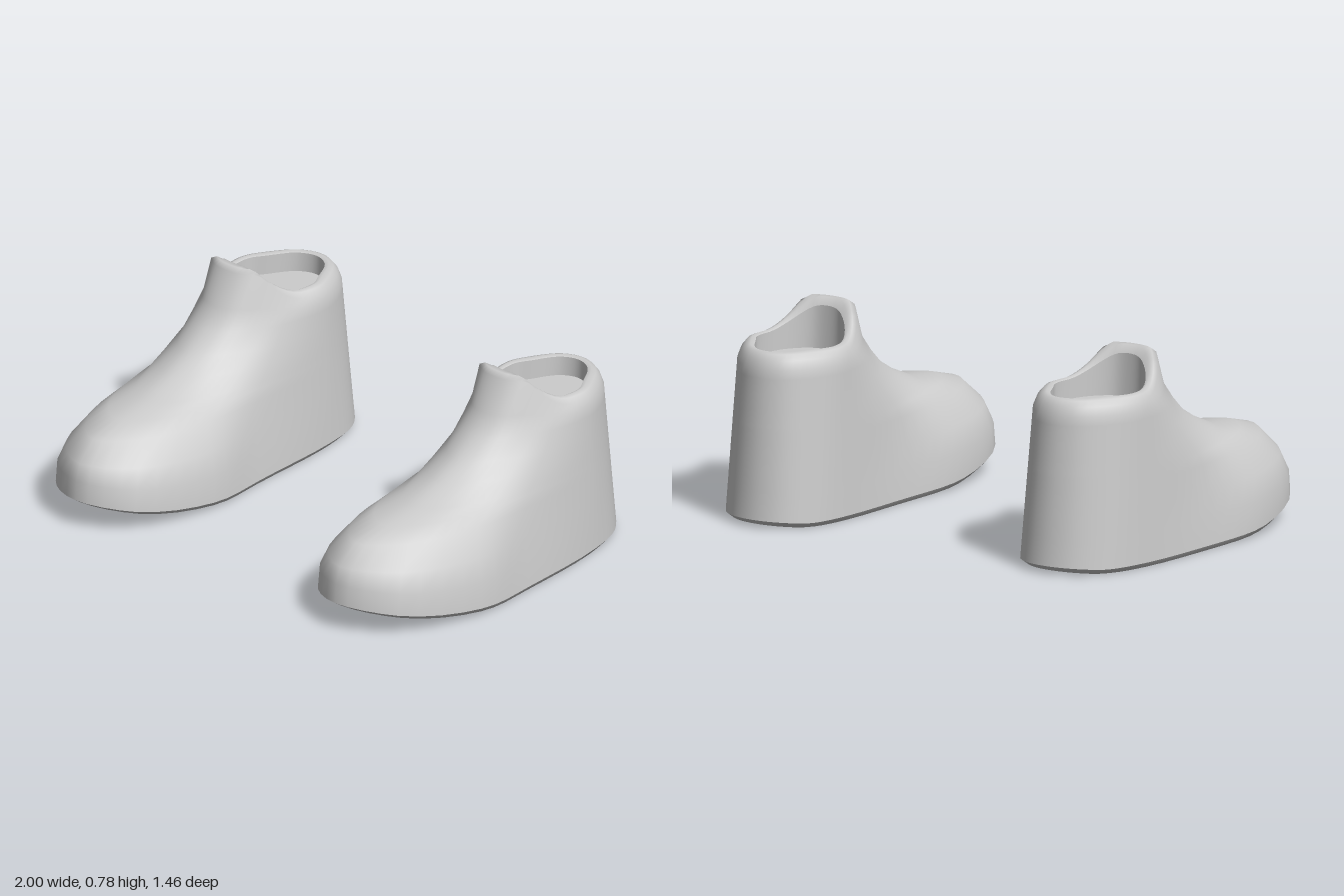
import * as THREE from 'three';

const SEG = 56; // points around each ring
const grey = new THREE.MeshStandardMaterial({ color: 0xcccccc });
grey.name = 'light grey';

// Underside height: flat in the middle, curling up at toe and heel
function soleHeight(z) {
  const toe = Math.max(0, z + 0.05) / 0.78;
  const heel = Math.max(0, -z - 0.62) / 0.11;
  return 0.1 * toe * toe + 0.012 * heel;
}

// Ring: height, front lift, front z, three pairs of half width and z, heel half width, back z
// The heel narrows and leans forward steadily, so the walls only list the forefoot
const wall = (y, ...forefoot) => [y, Math.max(0, y - 0.57), ...forefoot, 0.25 - 0.042 * y, -0.732 + 0.09 * y];
const wallRings = [
  wall(0.02, 0.73, 0.205, 0.61, 0.308, 0.27, 0.283, -0.02),
  wall(0.13, 0.725, 0.205, 0.6, 0.303, 0.26, 0.272, -0.02),
  wall(0.225, 0.705, 0.185, 0.57, 0.276, 0.25, 0.255, -0.03),
  wall(0.325, 0.625, 0.145, 0.49, 0.225, 0.2, 0.24, -0.05),
  wall(0.367, 0.49, 0.115, 0.4, 0.19, 0.17, 0.23, -0.07),
  wall(0.388, 0.33, 0.1, 0.27, 0.175, 0.11, 0.225, -0.09),
  wall(0.445, 0.19, 0.09, 0.14, 0.165, 0.02, 0.217, -0.14),
  wall(0.5, 0.09, 0.08, 0.05, 0.155, -0.06, 0.208, -0.19),
  wall(0.57, 0, 0.08, -0.03, 0.15, -0.12, 0.2, -0.23),
  wall(0.605, -0.07, 0.075, -0.09, 0.145, -0.17, 0.197, -0.27),
];
const collar = [0.64, 0.13, -0.128, 0.07, -0.142, 0.14, -0.205, 0.192, -0.31, 0.213, -0.665];
const opening = [0.662, 0.11, -0.195, 0.06, -0.205, 0.115, -0.25, 0.155, -0.325, 0.165, -0.62];

// Rolled rim: blend from the collar to the opening over a small arch
const rimRings = [0, 0.35, 0.7, 1].map((t) => {
  const ring = collar.map((v, i) => THREE.MathUtils.lerp(v, opening[i], t));
  ring[0] += 0.015 * Math.sin(Math.PI * t);
  return ring;
});
const upperRings = [...wallRings, ...rimRings];

// Symmetric closed outline, skewed a little towards the inside at both ends
function ringPoints([y, lift, front, aw, az, bw, bz, cw, cz, heel, back], side, inset = 1) {
  const half = [
    [aw, az], [bw, bz], [cw, cz],
    [heel, -0.43], [heel * 0.8, back + 0.125], [heel * 0.44, back + 0.03],
  ];
  const outline = [[0, front], ...half, [0, back], ...half.map(([x, z]) => [-x, z]).reverse()];
  const curve = new THREE.CatmullRomCurve3(outline.map(([x, z]) => new THREE.Vector3(x, 0, z)), true);
  return Array.from({ length: SEG }, (_, i) => {
    const p = curve.getPoint(i / SEG);
    p.x *= inset;
    p.z *= inset;
    const rise = THREE.MathUtils.clamp((p.z + 0.36) / 0.18, 0, 1);
    p.y = y + lift * rise * rise + soleHeight(p.z) * Math.max(0, 1 - y / 0.35);
    p.x += side * (0.69 - 0.045 * p.z * p.z);
    return p;
  });
}

// Skin a stack of rings, optionally closing the first (facing down) or last (facing up)
function skin(name, rings, cap) {
  const index = [];
  for (let k = 0; k < rings.length - 1; k++) {
    for (let i = 0; i < SEG; i++) {
      const j = (i + 1) % SEG, lo = k * SEG, hi = lo + SEG;
      index.push(lo + i, lo + j, hi + j, lo + i, hi + j, hi + i);
    }
  }
  if (cap) {
    const o = cap === 'top' ? (rings.length - 1) * SEG : 0;
    for (let i = 0; i < SEG / 2; i++) {
      const p = o + i, q = p + 1, r = o + SEG - i - 1, s = o + ((SEG - i) % SEG);
      if (cap === 'top') index.push(p, q, r, p, r, s);
      else index.push(p, r, q, p, s, r);
    }
  }
  const geometry = new THREE.BufferGeometry().setFromPoints(rings.flat());
  geometry.setIndex(index);
  geometry.computeVertexNormals();
  const mesh = new THREE.Mesh(geometry, grey);
  mesh.name = name;
  return mesh;
}

function createShoe(side) {
  const shoe = new THREE.Group();
  shoe.name = side > 0 ? 'leftShoe' : 'rightShoe';
  const upper = upperRings.map((ring) => ringPoints(ring, side));
  const floor = ringPoints([0.585, 0, ...opening.slice(2)], side);
  // Gently rounded sole under the upper
  const soleInset = ringPoints([0, ...wallRings[0].slice(1)], side, 0.95);
  shoe.add(
    skin('upper', upper),
    skin('lining', [floor, upper[upper.length - 1]].reverse()),
    skin('insole', [floor], 'top'),
    skin('sole', [soleInset, upper[0]], 'bottom'),
  );
  return shoe;
}

export function createModel() {
  const model = new THREE.Group();
  model.name = 'pairOfShoes';
  model.add(createShoe(1), createShoe(-1));
  return model;
}
